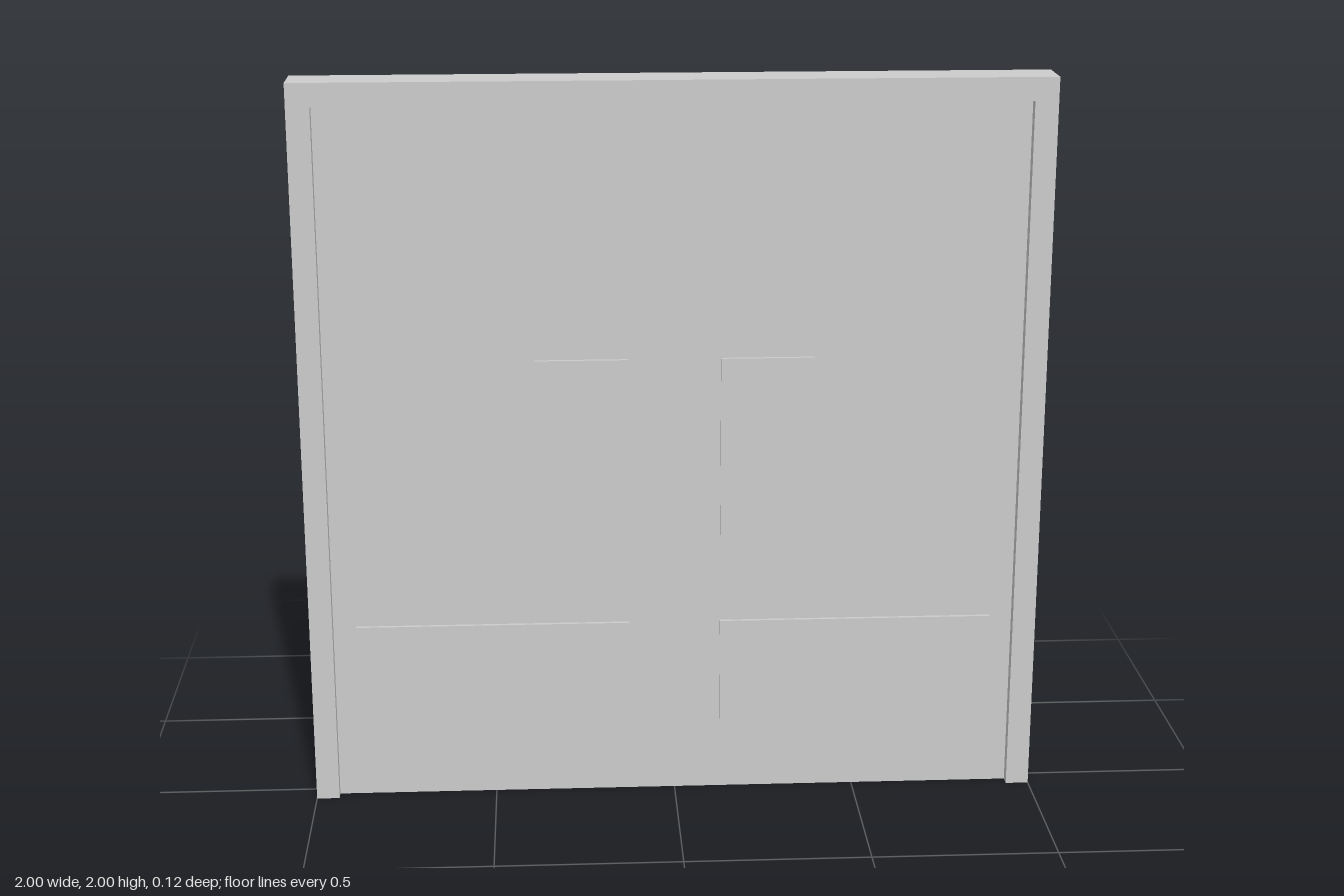
import * as THREE from 'three';

const SIZE = 2, DEPTH = 0.125, RIM = 0.0625;
const BACK = -DEPTH / 2, DOOR_FRONT = 0.033, RELIEF = 0.01;

export function createModel() {
  const group = new THREE.Group();
  const material = new THREE.MeshStandardMaterial({ color: 0xcccccc, flatShading: true });

  // Adds a box given by its x, y and z ranges
  const addBox = (name, [x0, x1], [y0, y1], [z0, z1]) => {
    const mesh = new THREE.Mesh(new THREE.BoxGeometry(x1 - x0, y1 - y0, z1 - z0), material);
    mesh.position.set((x0 + x1) / 2, (y0 + y1) / 2, (z0 + z1) / 2);
    mesh.name = name;
    group.add(mesh);
  };

  // Surround: two jambs and a lintel in one outline, open at the bottom
  const half = SIZE / 2, inner = half - RIM, top = SIZE - RIM;
  const outline = new THREE.Shape([
    [-half, 0], [-inner, 0], [-inner, top], [inner, top],
    [inner, 0], [half, 0], [half, SIZE], [-half, SIZE],
  ].map(([x, y]) => new THREE.Vector2(x, y)));
  const frameGeometry = new THREE.ExtrudeGeometry(outline, { depth: DEPTH, bevelEnabled: false });
  frameGeometry.translate(0, 0, BACK);
  const frame = new THREE.Mesh(frameGeometry, material);
  frame.name = 'doorFrame';
  group.add(frame);

  // Door slab: flush at the back, set back from the frame at the front
  addBox('doorSlab', [-inner, inner], [0, top], [BACK, DOOR_FRONT]);

  // Shallow raised panels, mirrored left and right
  for (const [side, s] of [['left', 1], ['right', -1]]) {
    const mirror = (a, b) => [a * s, b * s].sort((p, q) => p - q);
    const z = [DOOR_FRONT, DOOR_FRONT + RELIEF];
    addBox(side + 'LowerPanel', mirror(0.125, 0.875), [0.125, 0.5], z);
    addBox(side + 'UpperPanel', mirror(0.125, 0.375), [0.75, 1.25], z);
  }
  return group;
}
